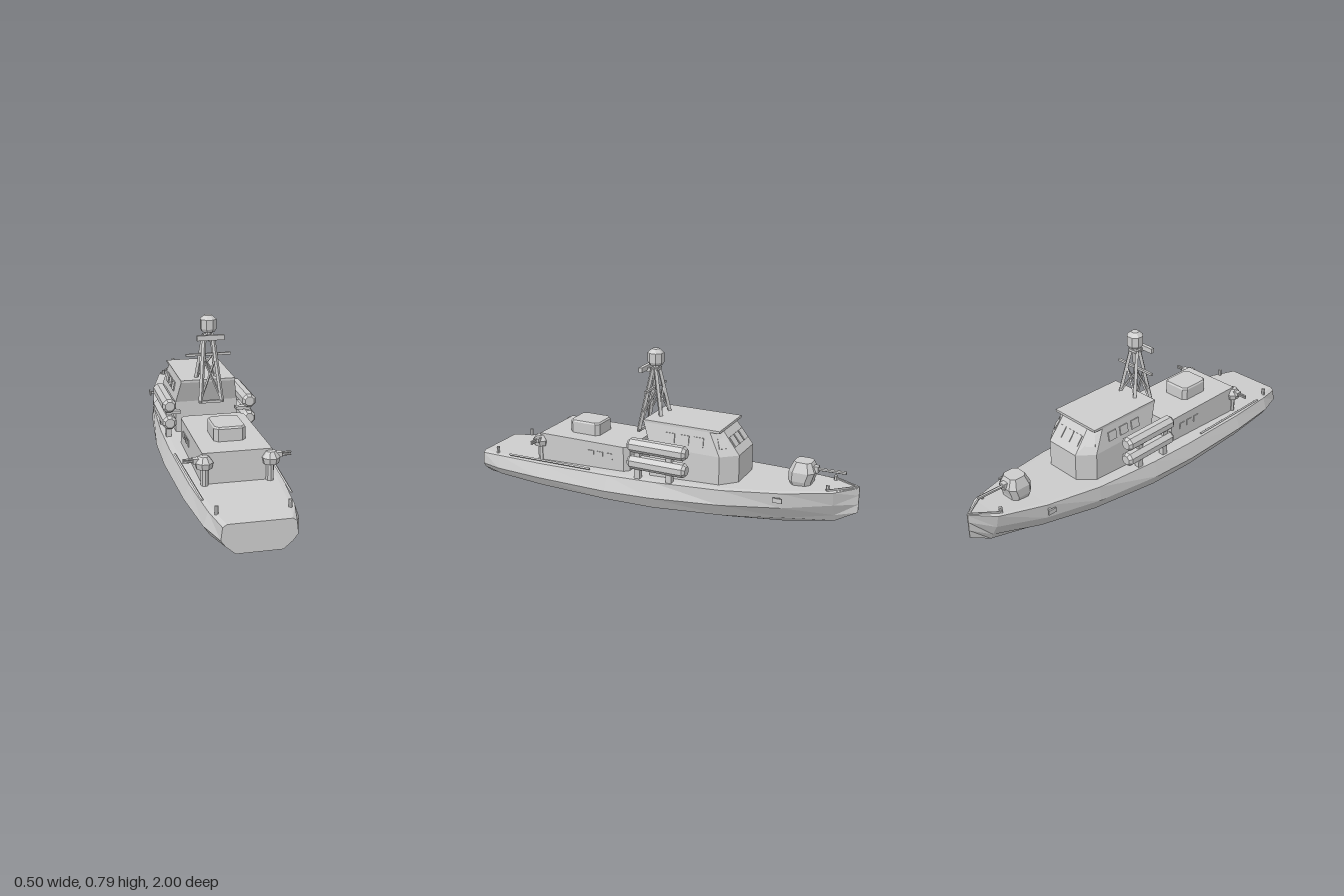
import * as THREE from 'three';

const grey = new THREE.MeshStandardMaterial({ color: 0xcccccc, flatShading: true });
grey.name = 'ship grey';

function add(parent, name, geometry, x = 0, y = 0, z = 0) {
  const mesh = new THREE.Mesh(geometry, grey);
  mesh.name = name;
  mesh.position.set(x, y, z);
  parent.add(mesh);
  return mesh;
}

const box = (parent, name, w, h, d, x, y, z) => add(parent, name, new THREE.BoxGeometry(w, h, d), x, y, z);

// Closed skin through equal-sized rings, capped at both ends
function loft(rings) {
  const pos = [];
  const tri = (a, b, c) => pos.push(...a, ...b, ...c);
  for (let i = 0; i < rings.length - 1; i++) {
    const p = rings[i], q = rings[i + 1];
    for (let j = 0; j < p.length; j++) {
      const k = (j + 1) % p.length;
      tri(p[j], p[k], q[k]);
      tri(p[j], q[k], q[j]);
    }
  }
  const first = rings[0], last = rings[rings.length - 1];
  for (let j = 1; j < first.length - 1; j++) {
    tri(first[0], first[j + 1], first[j]);
    tri(last[0], last[j], last[j + 1]);
  }
  const g = new THREE.BufferGeometry();
  g.setAttribute('position', new THREE.Float32BufferAttribute(pos, 3));
  g.computeVertexNormals();
  return g;
}

const mirrored = half => [...half, ...half.slice().reverse().map(([x, y, z]) => [-x, y, z])];
// Half outline in plan (x, z), listed from aft to bow, at height y
const plan = (y, half) => mirrored(half.map(([x, z]) => [x, y, z]));

// Bar between two points
function bar(parent, name, a, b, r, sides = 4) {
  const from = new THREE.Vector3(...a), to = new THREE.Vector3(...b);
  const dir = to.clone().sub(from);
  const mesh = add(parent, name, new THREE.CylinderGeometry(r, r, dir.length(), sides));
  mesh.position.copy(from).add(to).multiplyScalar(0.5);
  mesh.quaternion.setFromUnitVectors(new THREE.Vector3(0, 1, 0), dir.normalize());
  return mesh;
}

const profile = (points, sides) => new THREE.LatheGeometry(points.map(p => new THREE.Vector2(...p)), sides, Math.PI / sides);

export function createModel() {
  const ship = new THREE.Group();
  ship.name = 'patrolBoat';

  // Hull stations: z, then half width and height of deck edge, knuckle, chine and bottom
  const stations = [
    [1, 0.155, 0.138, 0.162, 0.08, 0.142, 0.052, 0.1, 0.016],
    [0.87, 0.185, 0.152, 0.206, 0.088, 0.177, 0.046, 0.103, 0.009],
    [0.6, 0.21, 0.163, 0.236, 0.095, 0.205, 0.045, 0.108, 0.002],
    [0.2, 0.225, 0.177, 0.252, 0.102, 0.223, 0.048, 0.11, 0],
    [-0.05, 0.225, 0.187, 0.248, 0.112, 0.215, 0.05, 0.1, 0],
    [-0.4, 0.207, 0.204, 0.212, 0.13, 0.17, 0.062, 0.075, 0.018],
    [-0.68, 0.158, 0.222, 0.15, 0.147, 0.105, 0.08, 0.045, 0.04],
    [-0.9, 0.088, 0.24, 0.07, 0.172, 0.035, 0.11, 0.015, 0.075],
    [-1, 0.004, 0.252, 0.003, 0.215, 0.002, 0.17, 0.002, 0.13],
  ];
  add(ship, 'hull', loft(stations.map(([z, dx, dy, wx, wy, cx, cy, bx, by]) => mirrored([
    [dx * 0.88, dy + (z > 0.95 ? 0.012 : 0.004), z], [dx, dy, z], [wx, wy, z], [cx, cy, z], [bx, by, z],
  ]))));

  // Wheelhouse: upright lower part, slanted window band, flat roof
  const sill = [[0.155, -0.005], [0.155, -0.37], [0.09, -0.445]];
  const head = [[0.134, 0.038], [0.134, -0.31], [0.085, -0.358]];
  add(ship, 'wheelhouse', loft([plan(0.16, sill), plan(0.345, sill), plan(0.457, head)]));
  box(ship, 'wheelhouseRoof', 0.272, 0.012, 0.4, 0, 0.459, -0.162);
  const slope = Math.atan2(0.087, 0.112);
  for (const x of [-0.056, 0, 0.056]) {
    box(ship, 'frontWindow', 0.046, 0.055, 0.008, x, 0.4, -0.403).rotation.x = slope;
  }

  // Aft deckhouse with hatch box
  const aft = [[0.157, 0.625], [0.157, 0.14], [0.135, 0.115]];
  add(ship, 'deckhouse', loft([plan(0.14, aft), plan(0.31, aft)]));
  const hatch = s => [[0.055 * s, 0.415 + 0.085 * s], [0.073 * s, 0.415 + 0.066 * s],
    [0.073 * s, 0.415 - 0.066 * s], [0.055 * s, 0.415 - 0.085 * s]];
  add(ship, 'hatchBox', loft([plan(0.305, hatch(1)), plan(0.368, hatch(1)), plan(0.376, hatch(0.93))]));

  // Fittings repeated on both sides
  for (const s of [1, -1]) {
    const side = new THREE.Group();
    side.name = s > 0 ? 'leftFittings' : 'rightFittings';
    ship.add(side);

    for (let i = 0; i < 3; i++) {
      box(side, 'deckhouseWindow', 0.006, 0.032, 0.034, s * 0.158, 0.25, 0.22 + i * 0.052);
      box(side, 'wheelhouseWindow', 0.008, 0.045, 0.05, s * 0.146, 0.4, -0.26 + i * 0.075).rotation.z = s * 0.18;
    }
    const corner = box(side, 'cornerWindow', 0.045, 0.05, 0.008, s * 0.115, 0.4, -0.371);
    corner.rotation.set(0.55, -s * 0.8, 0, 'YXZ');

    // Launch tubes on posts
    for (const y of [0.352, 0.266]) {
      const tube = add(side, 'launchTube', profile(
        [[0, -0.155], [0.024, -0.155], [0.036, -0.14], [0.036, 0.14], [0.024, 0.155], [0, 0.155]], 8), s * 0.2, y, -0.07);
      tube.rotation.x = Math.PI / 2;
    }
    for (const z of [0.035, -0.135]) {
      box(side, 'launcherPost', 0.026, 0.15, 0.03, s * 0.2, 0.25, z);
      box(side, 'launcherBrace', 0.06, 0.015, 0.03, s * 0.17, 0.309, z);
    }

    // Small gun with twin barrels pointing outboard
    add(side, 'gunPedestal', new THREE.CylinderGeometry(0.018, 0.018, 0.1, 8), s * 0.147, 0.2, 0.628);
    add(side, 'gunHouse', profile(
      [[0, 0.245], [0.036, 0.245], [0.042, 0.273], [0.022, 0.3], [0, 0.303]], 8), s * 0.15, 0, 0.628);
    box(side, 'gunCradle', 0.03, 0.022, 0.03, s * 0.185, 0.281, 0.625);
    for (const y of [0.276, 0.287]) {
      bar(side, 'gunBarrel', [s * 0.16, y, 0.625], [s * 0.243, y, 0.625], 0.005, 6);
    }

    // Rails, bollards and anchor
    bar(side, 'deckRail', [s * 0.193, 0.173, 0.8], [s * 0.217, 0.19, 0.3], 0.006);
    add(side, 'sternBollard', new THREE.CylinderGeometry(0.009, 0.009, 0.04, 6), s * 0.157, 0.168, 0.9);
    add(side, 'bowBollard', new THREE.CylinderGeometry(0.009, 0.009, 0.03, 6), s * 0.068, 0.25, -0.87);
    box(side, 'anchor', 0.008, 0.022, 0.045, s * 0.18, 0.195, -0.67);
    box(side, 'anchorArm', 0.04, 0.01, 0.01, s * 0.163, 0.195, -0.67);
    bar(side, 'bowRail', [0, 0.256, -0.99], [s * 0.083, 0.246, -0.87], 0.005);
  }

  // Main gun
  const octagon = (w, back, front) => {
    const c = w * 0.4;
    return [[w - c, back], [w, back - c], [w, front + c], [w - c, front]];
  };
  add(ship, 'mainGunTurret', loft([
    plan(0.215, octagon(0.045, -0.685, -0.775)), plan(0.25, octagon(0.058, -0.67, -0.78)),
    plan(0.295, octagon(0.06, -0.672, -0.795)), plan(0.341, octagon(0.042, -0.692, -0.775)),
  ]));
  box(ship, 'mainGunMantlet', 0.03, 0.03, 0.03, 0, 0.308, -0.79);
  bar(ship, 'mainGunBarrel', [0, 0.308, -0.77], [0, 0.312, -0.935], 0.008, 6);

  // Lattice mast
  const mast = new THREE.Group();
  mast.name = 'mast';
  ship.add(mast);
  for (const s of [1, -1]) {
    bar(mast, 'aftLeg', [s * 0.053, 0.368, 0.108], [s * 0.02, 0.69, 0.045], 0.011);
    bar(mast, 'foreLeg', [s * 0.05, 0.455, -0.015], [s * 0.02, 0.69, 0.03], 0.011);
    bar(mast, 'aftBrace', [s * 0.05, 0.385, 0.102], [-s * 0.032, 0.585, 0.066], 0.006);
    bar(mast, 'foreBrace', [s * 0.045, 0.47, -0.012], [-s * 0.032, 0.595, 0.014], 0.006);
    bar(mast, 'sideBrace', [s * 0.045, 0.46, 0.09], [s * 0.033, 0.59, 0.012], 0.006);
  }
  box(mast, 'footBar', 0.12, 0.012, 0.014, 0, 0.373, 0.106);
  box(mast, 'yard', 0.224, 0.011, 0.012, 0, 0.593, 0.04);
  box(mast, 'mastHead', 0.05, 0.012, 0.04, 0, 0.688, 0.037);
  box(mast, 'radarBracket', 0.014, 0.02, 0.05, 0, 0.676, 0.062);
  box(mast, 'radarBar', 0.135, 0.025, 0.018, 0, 0.687, 0.089);
  add(mast, 'radome', profile(
    [[0, 0.68], [0.017, 0.68], [0.017, 0.706], [0.032, 0.706], [0.041, 0.722], [0.041, 0.768], [0.02, 0.787], [0, 0.789]], 8), 0, 0, 0.037);

  return ship;
}
